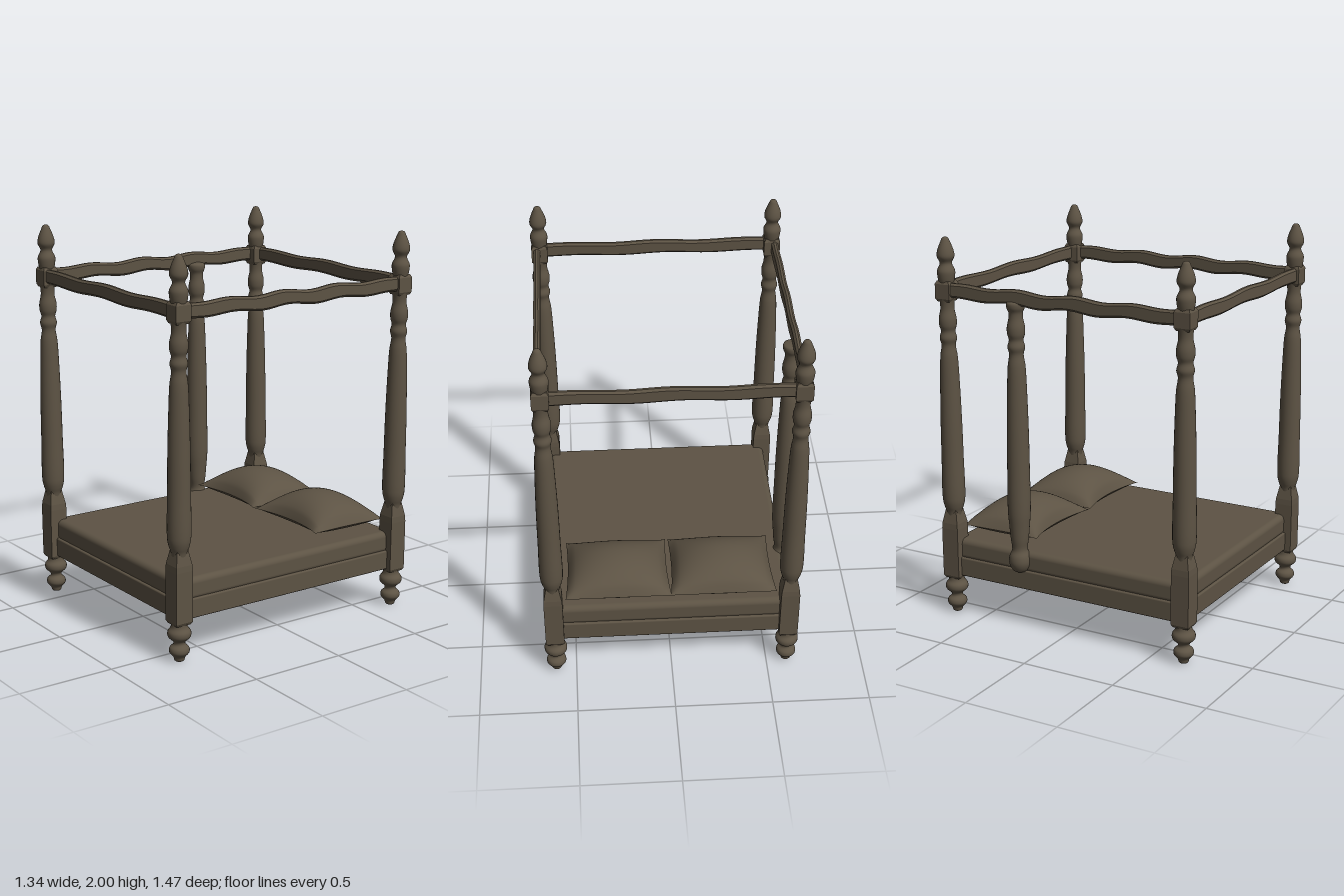
import * as THREE from 'three';
import { RoundedBoxGeometry } from 'three/addons/geometries/RoundedBoxGeometry.js';

const wood = new THREE.MeshStandardMaterial({ color: 0x5d5344 });
wood.name = 'dark brown';

function add(parent, name, geometry, x = 0, y = 0, z = 0) {
  const mesh = new THREE.Mesh(geometry, wood);
  mesh.name = name;
  mesh.position.set(x, y, z);
  parent.add(mesh);
  return mesh;
}

// Turned piece from [radius, height] pairs, smoothed with a curve
function turned(pairs, segments = 24) {
  const curve = new THREE.CatmullRomCurve3(pairs.map(([r, y]) => new THREE.Vector3(r, y, 0)), false, 'centripetal');
  const points = curve.getPoints(pairs.length * 4).map(p => new THREE.Vector2(Math.max(p.x, 0), p.y));
  return new THREE.LatheGeometry(points, segments);
}

// Square piece from [half width, height] pairs, with flat faces
function squared(pairs) {
  const points = pairs.map(([w, y]) => new THREE.Vector2(w * Math.SQRT2, y));
  const geometry = new THREE.LatheGeometry(points, 4).rotateY(Math.PI / 4).toNonIndexed();
  geometry.computeVertexNormals();
  return geometry;
}

const foot = [[0, 0], [0.022, 0.004], [0.03, 0.025], [0.05, 0.05], [0.048, 0.072], [0.03, 0.09], [0.031, 0.105],
  [0.056, 0.13], [0.058, 0.155], [0.042, 0.18], [0.04, 0.22]];
const shaft = [[0.034, 0.5], [0.04, 0.56], [0.05, 0.59], [0.058, 0.63], [0.057, 0.85], [0.055, 1.05], [0.05, 1.25],
  [0.044, 1.39], [0.036, 1.45], [0.044, 1.485], [0.036, 1.52], [0.044, 1.55], [0.045, 1.585], [0.036, 1.63],
  [0.036, 1.66], [0.042, 1.7]];
const finial = [[0.036, 1.76], [0.044, 1.8], [0.045, 1.83], [0.03, 1.868], [0.044, 1.9], [0.041, 1.93],
  [0.024, 1.975], [0.014, 1.995], [0, 2]];

function cornerPost(sx, sz) {
  const post = new THREE.Group();
  post.name = 'cornerPost';
  add(post, 'foot', turned(foot));
  add(post, 'lowerBlock', squared([[0, 0.195], [0.04, 0.195], [0.048, 0.21], [0.048, 0.47], [0.046, 0.5], [0.03, 0.58]]));
  add(post, 'shaft', turned(shaft));
  add(post, 'upperBlock', squared([[0, 1.675], [0.034, 1.675], [0.042, 1.69], [0.042, 1.765], [0.034, 1.78], [0, 1.78]]));
  add(post, 'finial', turned(finial));
  // Posts lean very slightly outwards
  post.position.set(sx * 0.603, 0, sz * 0.675);
  post.rotation.z = -sx * 0.008;
  return post;
}

// Wavy canopy rail with chamfered edges, running along z
function rail(length, wave, cycles) {
  const w = 0.017, h = 0.037, c = 0.011;
  const shape = new THREE.Shape([[w, c - h], [w, h - c], [w - c, h], [c - w, h], [-w, h - c], [-w, c - h], [c - w, -h], [w - c, -h]]
    .map(([x, y]) => new THREE.Vector2(x, y)));
  const geometry = new THREE.ExtrudeGeometry(shape, { depth: length, steps: 40, bevelEnabled: false });
  geometry.translate(0, 0, -length / 2);
  const p = geometry.attributes.position;
  for (let i = 0; i < p.count; i++) {
    const t = p.getZ(i) / length + 0.5;
    const shift = p.getY(i) > 0 ? 0 : 0.7;
    p.setY(i, p.getY(i) + wave * Math.sin(t * cycles * Math.PI * 2 + shift) * Math.sqrt(Math.sin(Math.PI * Math.min(Math.max(t, 0), 1)) + 1e-6));
  }
  geometry.computeVertexNormals();
  return geometry;
}

// Half of a pillow: side 1 is the top, -1 the underside
function pillowHalf(side) {
  const geometry = new THREE.PlaneGeometry(2, 2, 24, 24).rotateX(-side * Math.PI / 2);
  const p = geometry.attributes.position;
  for (let i = 0; i < p.count; i++) {
    const u = p.getX(i), v = p.getZ(i);
    const puff = Math.pow(Math.max((1 - u * u) * (1 - v * v), 0), 0.6);
    const x = 0.268 * u * (1 - 0.04 * (1 - v * v)) * (1 - 0.015 * v);
    const z = 0.225 * v - (v > 0 ? 0.04 * v * (1 - u * u) : 0);
    p.setXYZ(i, x, side * puff * (side > 0 ? 0.125 : 0.055), z);
  }
  geometry.computeVertexNormals();
  return geometry;
}

export function createModel() {
  const bed = new THREE.Group();
  bed.name = 'fourPosterBed';

  for (const sx of [-1, 1]) for (const sz of [-1, 1]) bed.add(cornerPost(sx, sz));

  // Canopy rails
  for (const s of [-1, 1]) {
    add(bed, 'sideCanopyRail', rail(1.32, 0.008, 4), s * 0.63, 1.732, 0);
    add(bed, 'crossCanopyRail', rail(1.22, 0.005, 2.5), 0, 1.732, s * 0.688).rotation.y = Math.PI / 2;
  }

  // Base and mattress
  add(bed, 'bedFrame', new RoundedBoxGeometry(1.25, 0.102, 1.38, 2, 0.008), 0, 0.262, 0);
  add(bed, 'mattress', new RoundedBoxGeometry(1.23, 0.115, 1.36, 4, 0.03), 0, 0.355, 0);

  // Pillows
  for (const s of [-1, 1]) {
    const pillow = new THREE.Group();
    pillow.name = 'pillow';
    add(pillow, 'pillowTop', pillowHalf(1));
    add(pillow, 'pillowUnderside', pillowHalf(-1));
    pillow.position.set(s * 0.27, 0.462, -0.442);
    bed.add(pillow);
  }

  // Extra post on the right-hand side
  const extra = [[0, 0.3], [0.035, 0.31], [0.056, 0.35], [0.054, 0.39], [0.04, 0.425], [0.046, 0.48], [0.052, 0.55],
    ...shaft.slice(3, -1), [0.046, 1.685], [0.044, 1.71], [0, 1.72]];
  add(bed, 'sidePost', turned(extra), -0.615, 0, -0.266);
  return bed;
}
